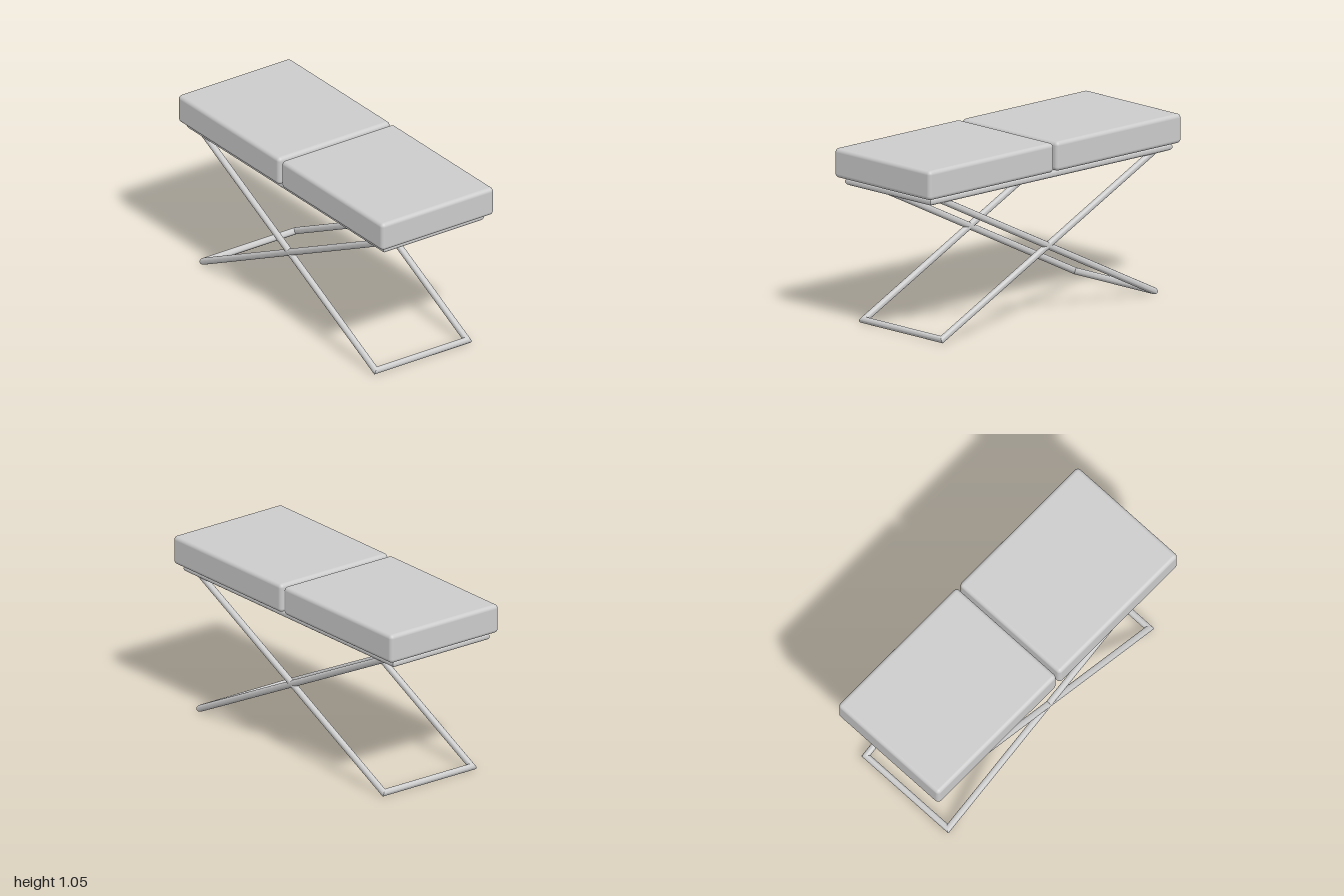
import * as THREE from 'three';
import { RoundedBoxGeometry } from 'three/addons/geometries/RoundedBoxGeometry.js';
import { toCreasedNormals } from 'three/addons/utils/BufferGeometryUtils.js';

const SIDES = 20;
const CENTRE_Z = -0.005;

// Closed rectangular ring of oval tube with mitred corners, lying in the xz plane.
// hx, hz: half size to the tube centre; a: tube radius in the plane; b: across it.
function mitredRing(hx, hz, a, b) {
  const corners = [[-1, 1], [1, 1], [1, -1], [-1, -1]];
  const positions = [];
  const index = [];
  for (const [sx, sz] of corners) {
    for (let j = 0; j < SIDES; j++) {
      const t = (j / SIDES) * Math.PI * 2;
      const out = a * Math.cos(t);
      positions.push(sx * (hx + out), b * Math.sin(t), sz * (hz + out));
    }
  }
  for (let i = 0; i < 4; i++) {
    for (let j = 0; j < SIDES; j++) {
      const i2 = (i + 1) % 4, j2 = (j + 1) % SIDES;
      const p = i * SIDES + j, q = i2 * SIDES + j;
      const r = i2 * SIDES + j2, s = i * SIDES + j2;
      index.push(p, q, r, p, r, s);
    }
  }
  const geometry = new THREE.BufferGeometry();
  geometry.setAttribute('position', new THREE.Float32BufferAttribute(positions, 3));
  geometry.setIndex(index);
  return toCreasedNormals(geometry, 0.6);
}

export function createModel() {
  const group = new THREE.Group();
  const material = new THREE.MeshStandardMaterial({ color: 0xcccccc });

  function add(name, geometry, y, z) {
    const mesh = new THREE.Mesh(geometry, material);
    mesh.name = name;
    mesh.position.set(0, y, z);
    group.add(mesh);
    return mesh;
  }

  // Two seat cushions with a narrow gap between them
  const cushion = new RoundedBoxGeometry(0.792, 0.173, 0.99, 5, 0.024);
  add('frontCushion', cushion, 0.9635, 0.504);
  add('backCushion', cushion, 0.9635, -0.506);

  // Tube frame under the cushions
  add('seatFrame', mitredRing(0.324, 0.93, 0.03, 0.024), 0.853, CENTRE_Z - 0.002);

  // Two closed leg frames crossing each other at mid height
  const low = 0.021, high = 0.842, reach = 0.838;
  const rise = (high - low) / 2;
  const legs = mitredRing(0.323, Math.hypot(reach, rise), 0.019, 0.02);
  for (const side of [1, -1]) {
    const mesh = add(side > 0 ? 'frontFootLegs' : 'backFootLegs', legs, (low + high) / 2, CENTRE_Z);
    mesh.rotation.x = side * Math.atan2(rise, reach);
  }

  return group;
}
